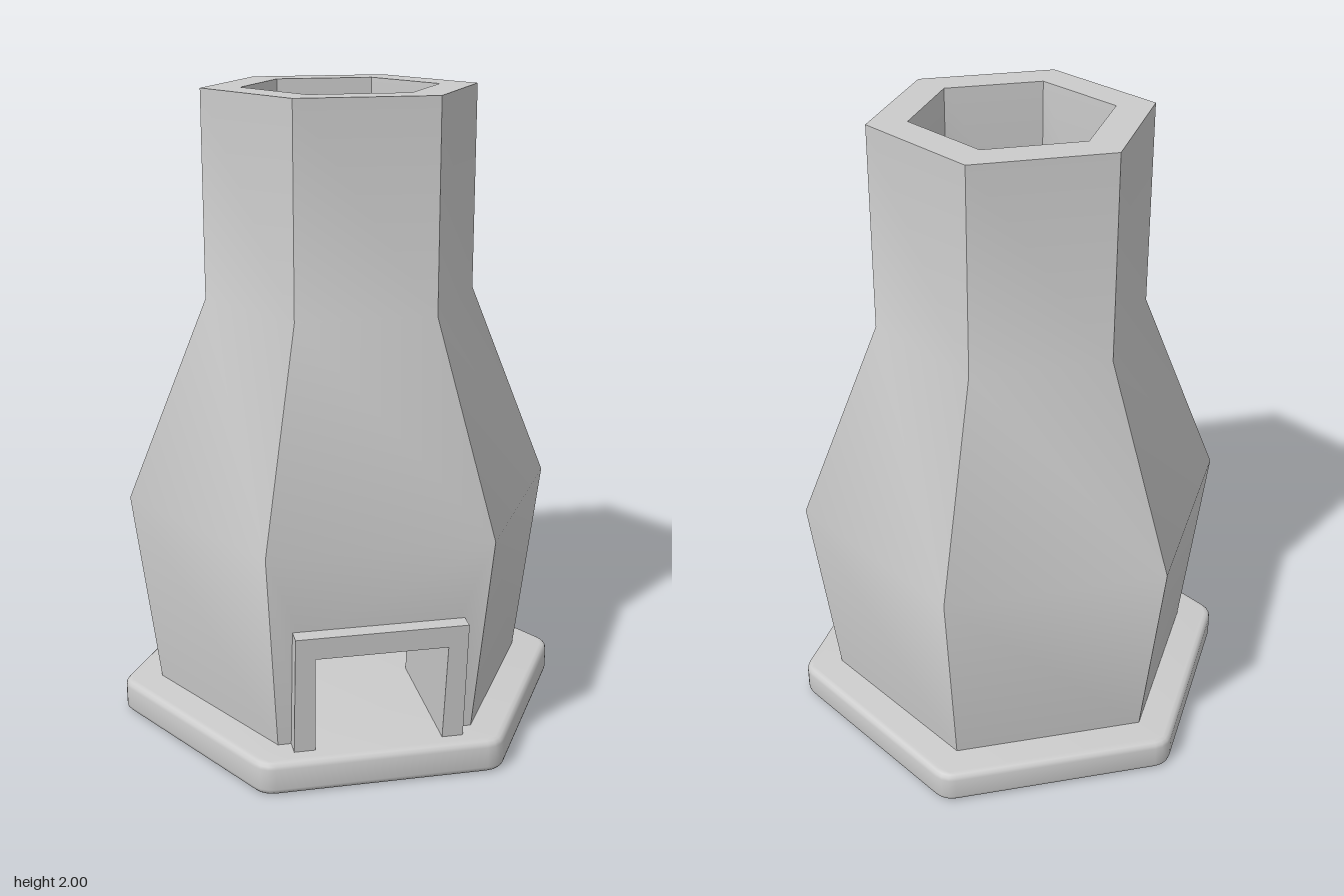
import * as THREE from 'three';
import { mergeGeometries, toCreasedNormals } from 'three/addons/utils/BufferGeometryUtils.js';

const SIDE = Math.PI / 3;
const APOTHEM = Math.cos(Math.PI / 6);
const CREASE = THREE.MathUtils.degToRad(32);
const material = new THREE.MeshStandardMaterial({ color: 0xcccccc });

// wall section as [radius, height]: up the outside, over the rim, down the inside
const PROFILE = [
  [0.6, 0.1], [0.68, 0.735], [0.425, 1.365], [0.425, 2],
  [0.305, 2], [0.305, 1.365], [0.56, 0.735], [0.48, 0.1],
].map(([r, y]) => new THREE.Vector2(r, y));

function addMesh(group, name, geometry, crease = CREASE) {
  const mesh = new THREE.Mesh(toCreasedNormals(geometry, crease), material);
  mesh.name = name;
  group.add(mesh);
}

function plain(geometry) {
  const g = geometry.index ? geometry.toNonIndexed() : geometry;
  g.deleteAttribute('uv');
  g.deleteAttribute('normal');
  return g;
}

// outline of a gate: outer half width, top height, and a notch open at the bottom
function notched(bottomHalf, topHalf, top, notchBottom, notchTop, notchHeight) {
  return new THREE.Shape([
    [-bottomHalf, 0.1], [-notchBottom, 0.1], [-notchTop, notchHeight], [notchTop, notchHeight],
    [notchBottom, 0.1], [bottomHalf, 0.1], [topHalf, top], [-topHalf, top],
  ].map(([x, y]) => new THREE.Vector2(x, y)));
}

// leaning lower wall panel with the doorway cut out
function doorPanel(low, high, inward) {
  const g = new THREE.ShapeGeometry(
    notched(low.x / 2, high.x / 2, high.y, 0.23, 0.23, 0.46)).toNonIndexed();
  const p = g.attributes.position;
  for (let i = 0; i < p.count; i++) {
    const k = (p.getY(i) - low.y) / (high.y - low.y);
    p.setZ(i, APOTHEM * THREE.MathUtils.lerp(low.x, high.x, k));
  }
  if (inward) {
    // swap two corners of each triangle so it faces the inside
    const a = new THREE.Vector3(), b = new THREE.Vector3();
    for (let i = 0; i < p.count; i += 3) {
      a.fromBufferAttribute(p, i + 1);
      b.fromBufferAttribute(p, i + 2);
      p.setXYZ(i + 1, b.x, b.y, b.z);
      p.setXYZ(i + 2, a.x, a.y, a.z);
    }
  }
  return g.rotateY(SIDE);
}

// six-sided hollow chimney: five full sides and one with a doorway
function chimneyGeometry() {
  return mergeGeometries([
    new THREE.LatheGeometry(PROFILE, 5, Math.PI / 2, 5 * SIDE),
    new THREE.LatheGeometry(PROFILE.slice(1, 7), 1, Math.PI / 6, SIDE),
    doorPanel(PROFILE[0], PROFILE[1], false),
    doorPanel(PROFILE[7], PROFILE[6], true),
  ].map(plain));
}

// arch whose front leans with the wall and whose tunnel reaches into the chimney
function archGeometry() {
  const back = 0.113;
  const g = new THREE.ExtrudeGeometry(notched(0.26, 0.26, 0.49, 0.195, 0.2, 0.42),
    { depth: 1, bevelEnabled: false });
  const p = g.attributes.position;
  for (let i = 0; i < p.count; i++) {
    const front = 0.572 + 0.11 * (p.getY(i) - 0.1);
    p.setZ(i, THREE.MathUtils.lerp(back, front, p.getZ(i)));
  }
  return plain(g.rotateY(SIDE));
}

// hexagonal slab with softened corners and edges
function slabGeometry() {
  const bevel = 0.02, height = 0.105, cut = 0.03;
  const radius = (0.631 - bevel) / APOTHEM;
  const corner = (i) => new THREE.Vector2(radius * Math.cos(i * SIDE), radius * Math.sin(i * SIDE));
  const shape = new THREE.Shape();
  for (let i = 0; i < 6; i++) {
    const c = corner(i);
    const a = c.clone().lerp(corner(i - 1), cut / radius);
    const b = c.clone().lerp(corner(i + 1), cut / radius);
    if (i === 0) shape.moveTo(a.x, a.y);
    else shape.lineTo(a.x, a.y);
    shape.quadraticCurveTo(c.x, c.y, b.x, b.y);
  }
  shape.closePath();
  const g = new THREE.ExtrudeGeometry(shape, {
    depth: height - 2 * bevel, bevelThickness: bevel, bevelSize: bevel,
    bevelSegments: 3, curveSegments: 3,
  });
  return plain(g.rotateX(-Math.PI / 2).translate(0, bevel, 0));
}

export function createModel() {
  const group = new THREE.Group();
  group.name = 'chimney';
  addMesh(group, 'baseSlab', slabGeometry(), THREE.MathUtils.degToRad(40));
  addMesh(group, 'chimneyBody', chimneyGeometry());
  addMesh(group, 'doorArch', archGeometry());
  return group;
}
